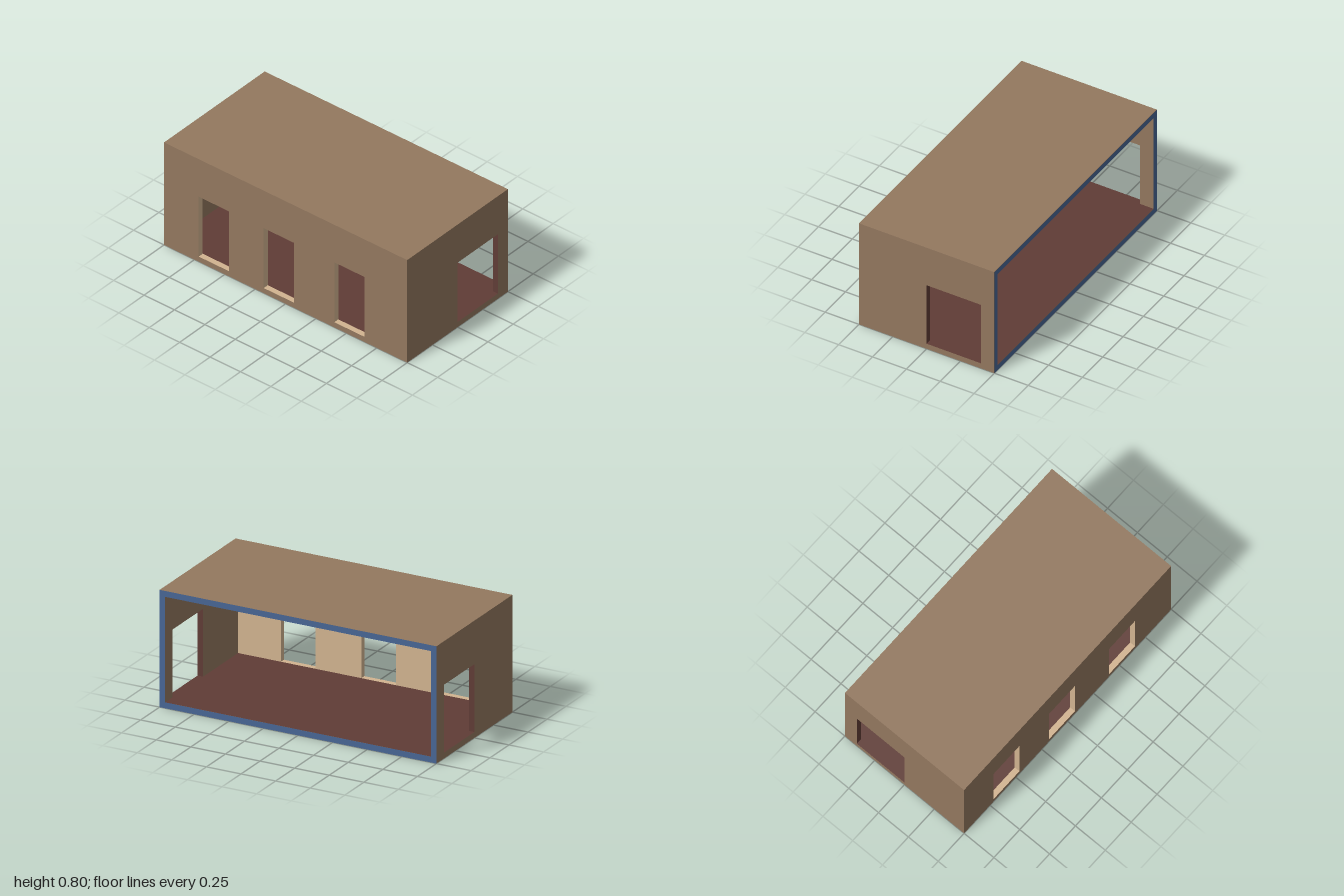
import * as THREE from 'three';

const W = 1, H = 0.8, D = 0.5, T = 0.04; // half width, height, half depth, wall thickness

const mat = (name, color, side = THREE.FrontSide) => {
  const m = new THREE.MeshStandardMaterial({ color, side });
  m.name = name;
  return m;
};

// Rectangular outline with rectangular holes, each given as [x0, x1, y0, y1]
function rectShape(rect, holes = []) {
  const trace = (path, [x0, x1, y0, y1]) => {
    path.moveTo(x0, y0);
    path.lineTo(x1, y0);
    path.lineTo(x1, y1);
    path.lineTo(x0, y1);
    path.closePath();
    return path;
  };
  const shape = trace(new THREE.Shape(), rect);
  holes.forEach((h) => shape.holes.push(trace(new THREE.Path(), h)));
  return shape;
}

// Wall slab with separate groups: 0 back face, 1 front face, 2 outer edges, 3 opening reveals
function wallGeometry(rect, holes) {
  const g = new THREE.ExtrudeGeometry(rectShape(rect, holes), { depth: T, bevelEnabled: false });
  const caps = g.groups[0].count, total = g.attributes.position.count, edges = 24;
  g.clearGroups();
  g.addGroup(0, caps / 2, 0);
  g.addGroup(caps / 2, caps / 2, 1);
  g.addGroup(caps, edges, 2);
  g.addGroup(caps + edges, total - caps - edges, 3);
  return g;
}

export function createModel() {
  const model = new THREE.Group();
  model.name = 'room';
  const brown = mat('brown', 0x93785f);
  const tan = mat('tan', 0xd2b490);
  const red = mat('darkRed', 0x603c36);
  const blue = mat('blue', 0x486695);

  const add = (name, geometry, material, x, y, z) => {
    const mesh = new THREE.Mesh(geometry, material);
    mesh.name = name;
    mesh.position.set(x, y, z);
    model.add(mesh);
    return mesh;
  };

  // Front wall: three openings, tan inside face and reveals
  const windows = [-0.715, -0.18, 0.4].map((x) => [x, x + 0.25, T, 0.507]);
  add('frontWall', wallGeometry([-W, W, 0, H], windows), [tan, brown, brown, tan], 0, 0, D - T);

  // Side walls: one doorway each, dark red reveals
  const back = D - 0.001;
  const sideGeometry = wallGeometry([T - D, back, 0, H], [[0, 0.4, T, 0.503]]);
  for (const [name, x] of [['leftWall', W - T], ['rightWall', -W]]) {
    add(name, sideGeometry, [brown, brown, brown, red], x, 0, 0).rotation.y = Math.PI / 2;
  }

  // Floor and roof slabs fitted between the walls
  const slab = new THREE.BoxGeometry(2 * (W - T), T, back + D - T);
  const slabZ = (D - T - back) / 2;
  add('floor', slab, [brown, brown, red, brown, brown, brown], 0, T / 2, slabZ);
  add('roof', slab, brown, 0, H - T / 2, slabZ);

  // Blue rim around the open back
  const rim = new THREE.ShapeGeometry(rectShape([-W, W, 0, H], [[T - W, W - T, T, H - T]]));
  add('backRim', rim, blue, 0, 0, -D).rotation.y = Math.PI;

  return model;
}
